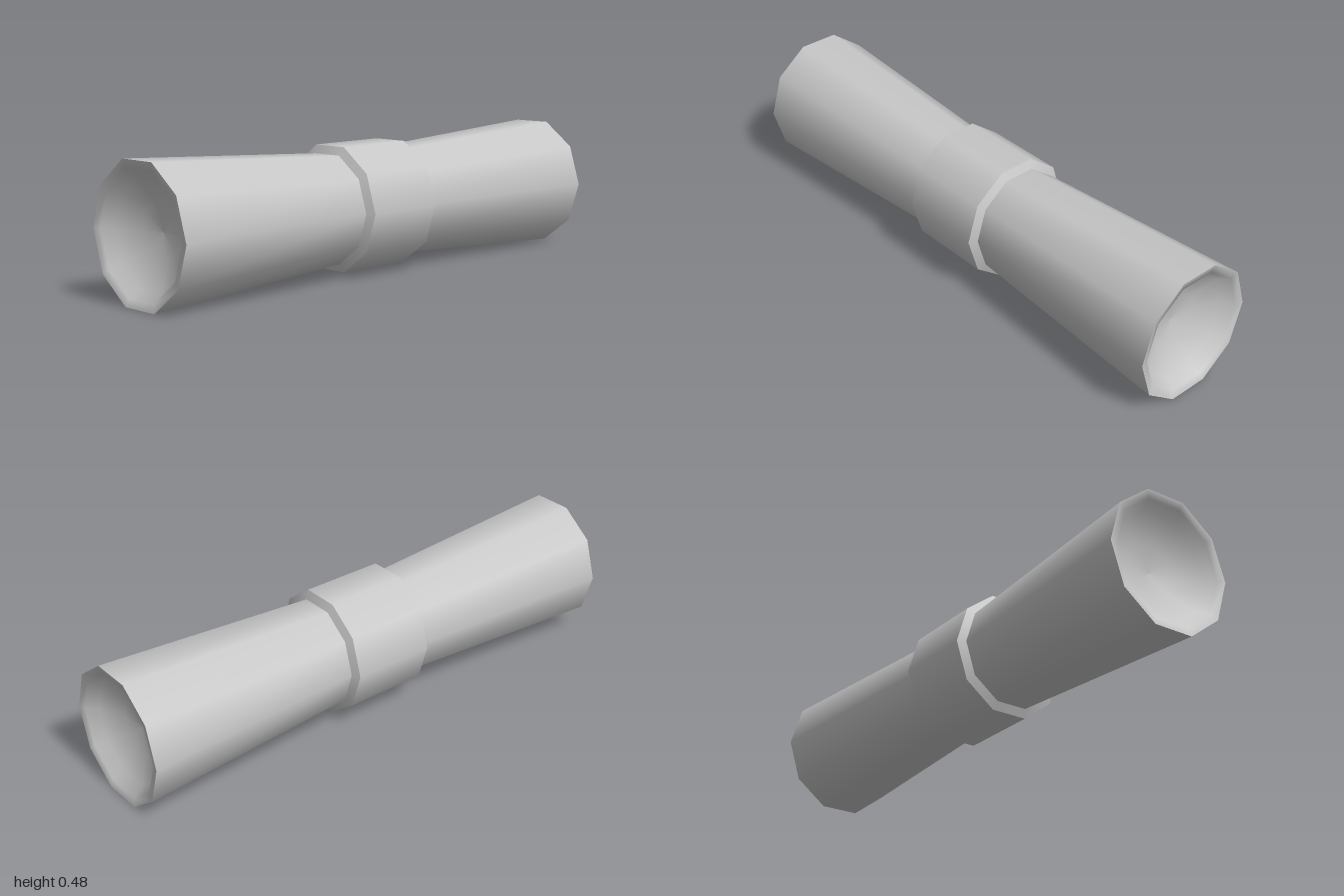
import * as THREE from 'three';

const SIDES = 10;
const DEPTH_RATIO = 0.952; // section is slightly narrower in z than in y
const AXIS_HEIGHT = 0.24;

// Ten-sided turned surface along x; profile is [x, radius] pairs with x rising for outward faces
function turned(profile, material, name) {
  const geometry = new THREE.LatheGeometry(
    profile.map(([x, r]) => new THREE.Vector2(r, x)), SIDES);
  geometry.rotateZ(-Math.PI / 2);
  geometry.scale(1, 1, DEPTH_RATIO);
  const mesh = new THREE.Mesh(geometry, material);
  mesh.name = name;
  return mesh;
}

export function createModel() {
  const model = new THREE.Group();
  model.name = 'flaredHandle';
  const grey = new THREE.MeshStandardMaterial({ color: 0xc8c8c8 });
  grey.name = 'light grey';

  // Mirrored halves: flared grip, dished end and collar bevel
  for (const side of [1, -1]) {
    const label = side > 0 ? 'left' : 'right';
    const half = (profile, name) => {
      const points = profile.map(([x, r]) => [x * side, r]);
      if (side < 0) points.reverse();
      model.add(turned(points, grey, label + name));
    };
    half([[0.14, 0.201], [1, 0.252]], 'Grip');
    half([[1, 0.252], [0.993, 0.222], [0.955, 0.195], [0.91, 0.1], [0.9, 0]], 'DishedEnd');
    half([[0.155, 0.234], [0.17, 0.203]], 'CollarBevel');
  }

  // Central collar
  model.add(turned([[-0.155, 0.234], [0.155, 0.234]], grey, 'collar'));

  model.position.y = AXIS_HEIGHT;
  const root = new THREE.Group();
  root.add(model);
  return root;
}
